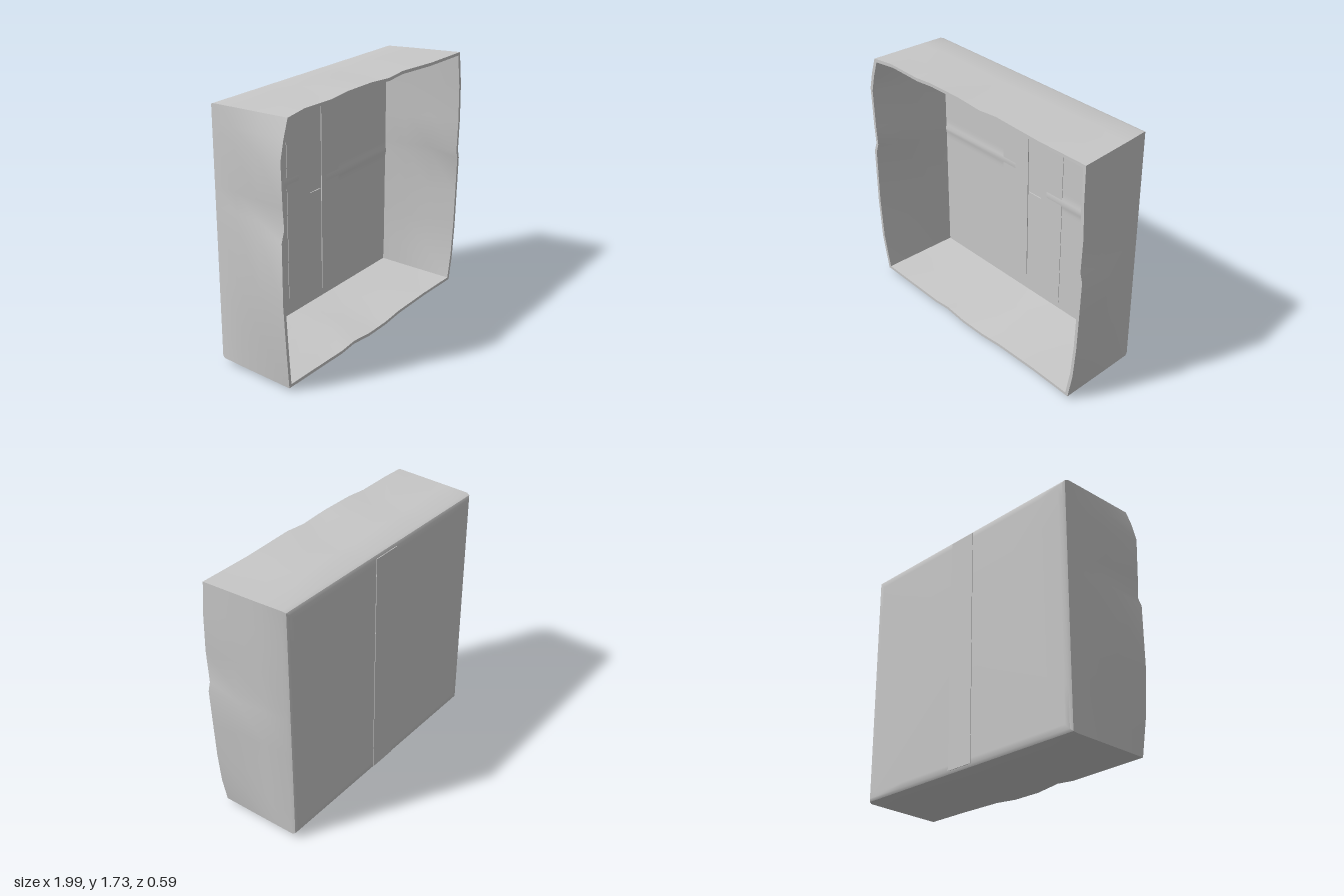
import * as THREE from 'three';
import { toCreasedNormals } from 'three/addons/utils/BufferGeometryUtils.js';

const cardboard = new THREE.MeshStandardMaterial({ color: 0xc8c8c8 });
cardboard.name = 'cardboardGrey';

// Rim outline at the open front, anticlockwise; each side starts at a corner
const rim = [
  [[-0.94, 0.03], [-0.7, 0.025], [-0.4, 0.018], [-0.27, 0.03], [-0.1, 0.01], [0.1, 0.01], [0.27, 0.026], [0.6, 0.03]],
  [[0.92, 0.035], [0.955, 0.22], [0.975, 0.45], [0.985, 0.7], [0.995, 0.96], [0.978, 1.02], [0.988, 1.25], [0.98, 1.5]],
  [[0.97, 1.72], [0.6, 1.72], [0.25, 1.735], [0.1, 1.722], [-0.1, 1.735], [-0.35, 1.735], [-0.5, 1.722], [-0.75, 1.728]],
  [[-0.92, 1.715], [-0.96, 1.6], [-0.99, 1.48], [-0.98, 1.2], [-0.97, 1.07], [-0.995, 1.0], [-0.995, 0.6], [-0.975, 0.3]],
];
const backCorners = [[-0.915, 0.045], [0.91, 0.045], [0.91, 1.705], [-0.915, 1.705]];
const lerp = THREE.MathUtils.lerp;

// One ring of the wall: k runs from the closed back (0) to the rim (1)
function ring(k, inset, z) {
  const pts = [];
  rim.forEach((side, s) => {
    const a = side[0], b = rim[(s + 1) % 4][0];
    const ba = backCorners[s], bb = backCorners[(s + 1) % 4];
    const axis = s % 2;
    side.forEach((p) => {
      const t = (p[axis] - a[axis]) / (b[axis] - a[axis]);
      const q = [0, 1].map((i) => {
        const straight = lerp(a[i], b[i], t);
        return lerp(lerp(ba[i], bb[i], t), straight, k) + (p[i] - straight) * Math.pow(k, 1.3);
      });
      const x = q[0] * (1 - inset / 0.93);
      const y = 0.87 + (q[1] - 0.87) * (1 - inset / 0.84);
      const bulge = k === 1 && s % 2 === 1 ? 0.012 : 0;
      pts.push(x, y, z + bulge);
    });
  });
  return pts;
}

// Rings run over the outside, round the rim and down the inside
function buildShell() {
  const rings = [
    ring(0, 0.06, -0.293), ring(0, 0.025, -0.292), ring(0, 0.008, -0.282), ring(0, 0, -0.26),
    ring(0.33, 0, -0.1), ring(0.67, 0, 0.09), ring(1, 0, 0.277),
    ring(1, 0.02, 0.277), ring(0.67, 0.022, 0.09), ring(0.33, 0.024, -0.1), ring(0, 0.028, -0.265),
  ];
  const n = rings[0].length / 3;
  const pos = rings.flat();
  const index = [];
  for (let r = 0; r < rings.length - 1; r++) {
    for (let i = 0; i < n; i++) {
      const j = (i + 1) % n;
      const a = r * n + i, b = r * n + j, c = a + n, d = b + n;
      index.push(a, b, d, a, d, c);
    }
  }
  // Outer back and inner floor
  const c0 = pos.length / 3;
  pos.push(0, 0.87, -0.293, 0, 0.87, -0.265);
  const last = (rings.length - 1) * n;
  for (let i = 0; i < n; i++) {
    const j = (i + 1) % n;
    index.push(c0, j, i, c0 + 1, last + i, last + j);
  }
  const g = new THREE.BufferGeometry();
  g.setAttribute('position', new THREE.Float32BufferAttribute(pos, 3));
  g.setIndex(index);
  return toCreasedNormals(g, 0.6);
}

export function createModel() {
  const group = new THREE.Group();
  const add = (name, geometry) => {
    const mesh = new THREE.Mesh(geometry, cardboard);
    mesh.name = name;
    group.add(mesh);
    return mesh;
  };
  const plate = (name, x0, x1, y0, y1, z, depth) =>
    add(name, new THREE.BoxGeometry(x1 - x0, y1 - y0, depth))
      .position.set((x0 + x1) / 2, (y0 + y1) / 2, z);

  add('boxShell', buildShell());

  // Folded flaps on the inner floor, each with a soft horizontal crease
  const flap = (name, x0, x1, y0, y1, creaseY) => {
    const g = new THREE.PlaneGeometry(x1 - x0, y1 - y0, 1, 60);
    g.translate((x0 + x1) / 2, (y0 + y1) / 2, -0.257);
    const p = g.attributes.position;
    for (let i = 0; i < p.count; i++) {
      const y = p.getY(i);
      const bump = 0.008 * Math.exp(-(((y - creaseY) / 0.025) ** 2))
        + 0.006 * Math.exp(-(((y - 1.58) / 0.03) ** 2));
      p.setZ(i, p.getZ(i) + bump);
    }
    g.computeVertexNormals();
    add(name, g);
  };
  flap('rightFlap', -0.875, -0.15, 0.1, 1.65, 1.03);
  flap('leftFlap', 0.15, 0.875, 0.11, 1.65, 0.94);

  // Tape strips, slot tab and the seam on the back
  plate('innerTapeRight', -0.27, -0.03, 0.2, 1.48, -0.256, 0.006);
  plate('innerTapeLeft', 0.1, 0.29, 0.13, 1.57, -0.256, 0.006);
  plate('slotTab', -0.025, 0.095, 0.84, 0.88, -0.262, 0.008);
  plate('backTape', -0.09, 0.11, 0.07, 1.68, -0.294, 0.006);
  return group;
}
